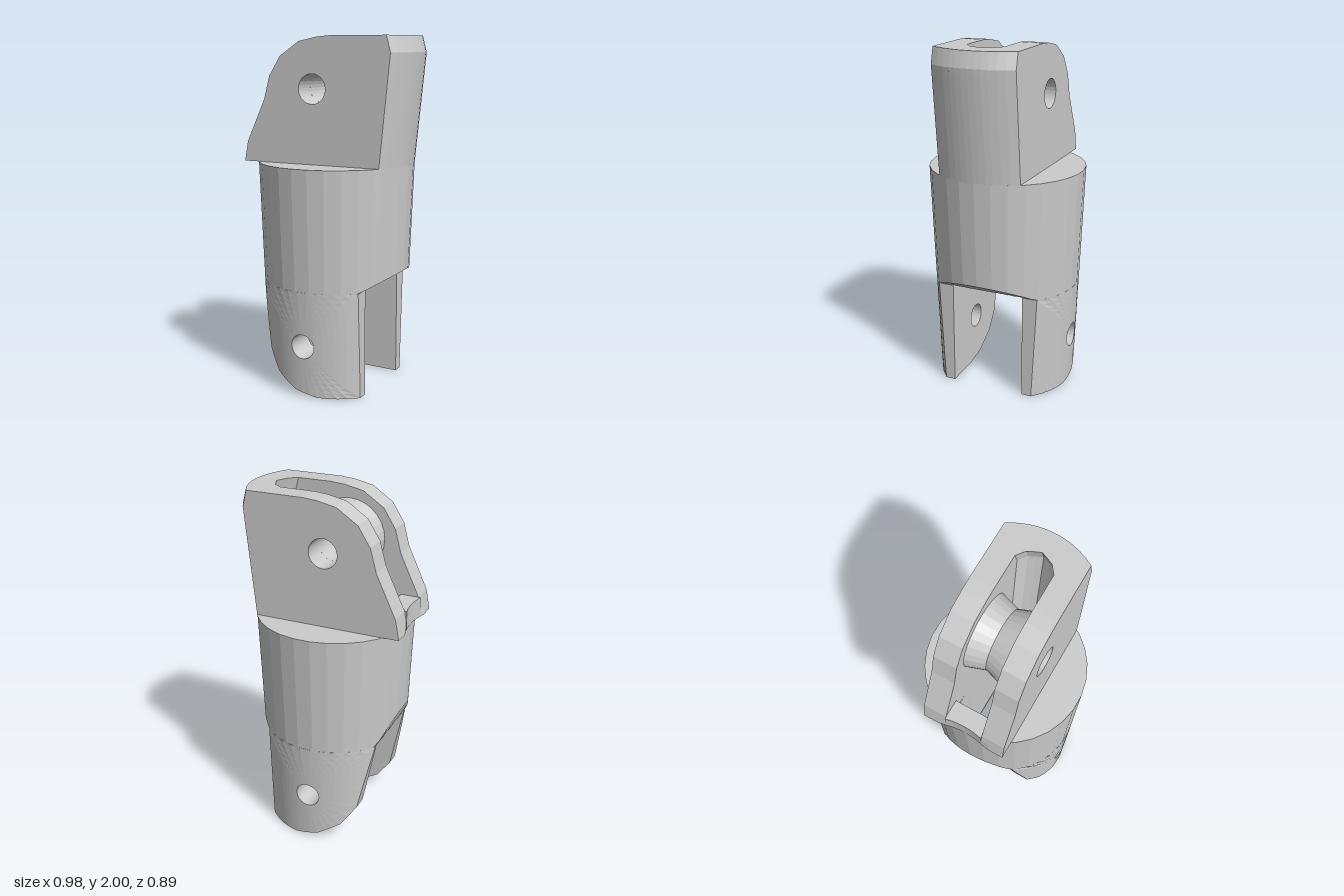
import * as THREE from 'three';

const material = new THREE.MeshStandardMaterial({ color: 0xcccccc, flatShading: true, side: THREE.DoubleSide });
const lerp = THREE.MathUtils.lerp;

const SLOT = 0.108; // half width of the upper slot
const SLAB = 0.242; // half thickness of the upper knuckle
const GAP = 0.217; // half width of the lower fork gap
const SHOULDER = 1.295; // height where the knuckle starts
const AXIS = -0.03; // x of the body axis

// Body profile rules
const radius = (y) => 0.4 + 0.037 * y;
const rightEdge = (y) => {
  if (y < SHOULDER) return AXIS + radius(y);
  return y < 1.91 ? lerp(0.418, 0.48, (y - SHOULDER) / (1.91 - SHOULDER)) : lerp(0.48, 0.456, (y - 1.91) / 0.09);
};
const bulge = (z) => Math.sqrt(0.448 ** 2 - z * z) - 0.448; // pull-in of a round side away from z = 0
const outerRight = (y, z) => rightEdge(y) + bulge(z);
const outerLeft = (z) => -0.478 + bulge(z);
const slotRight = (y, z) => {
  const a = Math.abs(z);
  return rightEdge(y) - 0.125 - (a < 0.07 ? (a * 0.03) / 0.07 : 0.03 + ((a - 0.07) * 0.05) / 0.038);
};
const slotLeft = (y) => lerp(-0.26, -0.375, THREE.MathUtils.clamp((y - 0.61) / 0.8, 0, 1));
// Underside: flat ceiling with chamfers rising to both sides
const underside = (x) => 0.61 + Math.max(0, (x - 0.26) * 0.6, (-0.38 - x) * 2.2);

// Ring-shaped solid from closed cross-sections
function ringLoft(loops) {
  const n = loops.length, m = loops[0].length, index = [];
  for (let i = 0; i < n; i++) {
    for (let j = 0; j < m; j++) {
      const i2 = (i + 1) % n, j2 = (j + 1) % m;
      const a = i * m + j, b = i2 * m + j, c = i2 * m + j2, d = i * m + j2;
      index.push(a, b, d, b, c, d);
    }
  }
  const geometry = new THREE.BufferGeometry();
  geometry.setAttribute('position', new THREE.Float32BufferAttribute(loops.flat(2), 3));
  geometry.setIndex(index);
  geometry.computeVertexNormals();
  return geometry;
}

// Plate around a pin hole; low and high give z, limit bends the outline per layer
function piercedPlate(outline, [hx, hy], r, low, high, limit = (x) => x) {
  const points = [];
  outline.forEach(([x, y], k) => {
    const [x2, y2] = outline[(k + 1) % outline.length];
    const steps = Math.ceil(Math.hypot(x2 - x, y2 - y) / 0.07);
    for (let s = 0; s < steps; s++) points.push([lerp(x, x2, s / steps), lerp(y, y2, s / steps)]);
  });
  const RADIAL = 8, LAYERS = 3;
  return ringLoft(points.map(([px, py]) => {
    const d = Math.hypot(px - hx, py - hy);
    const ix = hx + ((px - hx) * r) / d, iy = hy + ((py - hy) * r) / d;
    const face = (zAt) => Array.from({ length: RADIAL + 1 }, (_, k) => {
      const t = k / RADIAL, y = lerp(iy, py, t);
      const z0 = zAt(px, py);
      const x = lerp(ix, limit(px, py, z0), t);
      return [x, y, zAt(x, y)];
    });
    const a = low(px, py), b = high(px, py), edge = [];
    for (let k = 1; k < LAYERS; k++) {
      const z = lerp(a, b, k / LAYERS);
      edge.push([limit(px, py, z), py, z]);
    }
    return [...face(low), ...edge, ...face(high).reverse()];
  }));
}

// Tapered round body with the slot running through it
function bodyGeometry() {
  const N = 60, STEPS = 10, loops = [];
  const slotReach = (c, s, y) => {
    const r = rightEdge(y) - 0.125 - AXIS;
    const planes = [
      [0, 1, SLOT],
      [-1, 0, AXIS - slotLeft(y)],
      [0.07, 0.03, r * 0.07],
      [0.038, 0.05, (r - 0.03) * 0.038 + 0.07 * 0.05],
    ];
    return Math.min(...planes.map(([nx, nz, d]) => {
      const k = nx * c + nz * Math.abs(s);
      return k > 1e-6 ? d / k : Infinity;
    }));
  };
  for (let i = 0; i < N; i++) {
    const angle = (i / N) * Math.PI * 2, c = Math.cos(angle), s = Math.sin(angle);
    const flat = i % 2 ? Math.cos(Math.PI / 30) : 1; // thirty flat sides
    const at = (reach, y) => [AXIS + c * reach, y, -s * reach];
    const loop = [];
    const yOut = underside(AXIS + c * 0.425);
    const inner = slotReach(c, s, 0.61), outer = radius(yOut) * flat;
    for (let k = 0; k <= STEPS; k++) {
      const reach = lerp(inner, outer, k / STEPS);
      loop.push(at(reach, underside(AXIS + c * reach)));
    }
    loop.push(at(radius(SHOULDER) * flat, SHOULDER), at(slotReach(c, s, SHOULDER), SHOULDER));
    loops.push(loop);
  }
  return ringLoft(loops);
}

// Wall closing one end of the slot: a box whose sides follow two rules
function endWall(y0, y1, xLow, xHigh) {
  const geometry = new THREE.BoxGeometry(1, 1, 1, 1, 16, 6);
  const p = geometry.attributes.position;
  for (let i = 0; i < p.count; i++) {
    const y = lerp(y0, y1, p.getY(i) + 0.5), z = p.getZ(i) * 2 * SLOT;
    p.setXYZ(i, lerp(xLow(y, z), xHigh(y, z), p.getX(i) + 0.5), y, z);
  }
  geometry.computeVertexNormals();
  return geometry;
}

export function createModel() {
  const model = new THREE.Group();
  const add = (name, geometry) => {
    const mesh = new THREE.Mesh(geometry, material);
    mesh.name = name;
    model.add(mesh);
    return mesh;
  };

  add('body', bodyGeometry());

  // Lower fork arms: flat inside, round outside
  const armOutline = [[0.26, 0.61], [-0.38, 0.61], [-0.3, 0.22], [-0.22, 0.11], [-0.09, 0.035], [0.05, 0.004], [0.26, 0]];
  const armIn = () => GAP;
  const armOut = (x, y) => Math.max(GAP + 0.003, Math.sqrt(Math.max(0, radius(y) ** 2 - (x - AXIS) ** 2)));
  const armHole = [-0.035, 0.295];
  add('frontForkArm', piercedPlate(armOutline, armHole, 0.07, armIn, armOut));
  add('backForkArm', piercedPlate(armOutline, armHole, 0.07, (x, y) => -armOut(x, y), () => -GAP));

  // Upper knuckle cheeks on both sides of the slot
  const cheekOutline = [
    [-0.5, SHOULDER], [0.5, SHOULDER], [0.5, 1.91], [0.5, 2], [0.05, 2], [-0.03, 1.993], [-0.14, 1.97],
    [-0.26, 1.89], [-0.33, 1.78], [-0.365, 1.65], [-0.478, 1.41],
  ];
  const pin = [-0.06, 1.712];
  const limit = (x, y, z) => Math.min(outerRight(y, z), Math.max(outerLeft(z), x));
  add('frontCheek', piercedPlate(cheekOutline, pin, 0.083, () => SLOT, () => SLAB, limit));
  add('backCheek', piercedPlate(cheekOutline, pin, 0.083, () => -SLAB, () => -SLOT, limit));

  // Walls at the two ends of the slot
  add('slotEndWall', endWall(SHOULDER, 2, slotRight, outerRight));
  add('slotLowWall', endWall(SHOULDER, 1.41, (y, z) => outerLeft(z), slotLeft));

  // Waisted spool around the upper pin hole
  const profile = [[0.083, -SLOT], [0.21, -SLOT], [0.175, 0], [0.21, SLOT], [0.083, SLOT], [0.083, -SLOT]];
  const spool = add('spool', new THREE.LatheGeometry(profile.map(([r, h]) => new THREE.Vector2(r, h)), 28));
  spool.rotation.x = Math.PI / 2;
  spool.position.set(pin[0], pin[1], 0);

  return model;
}
